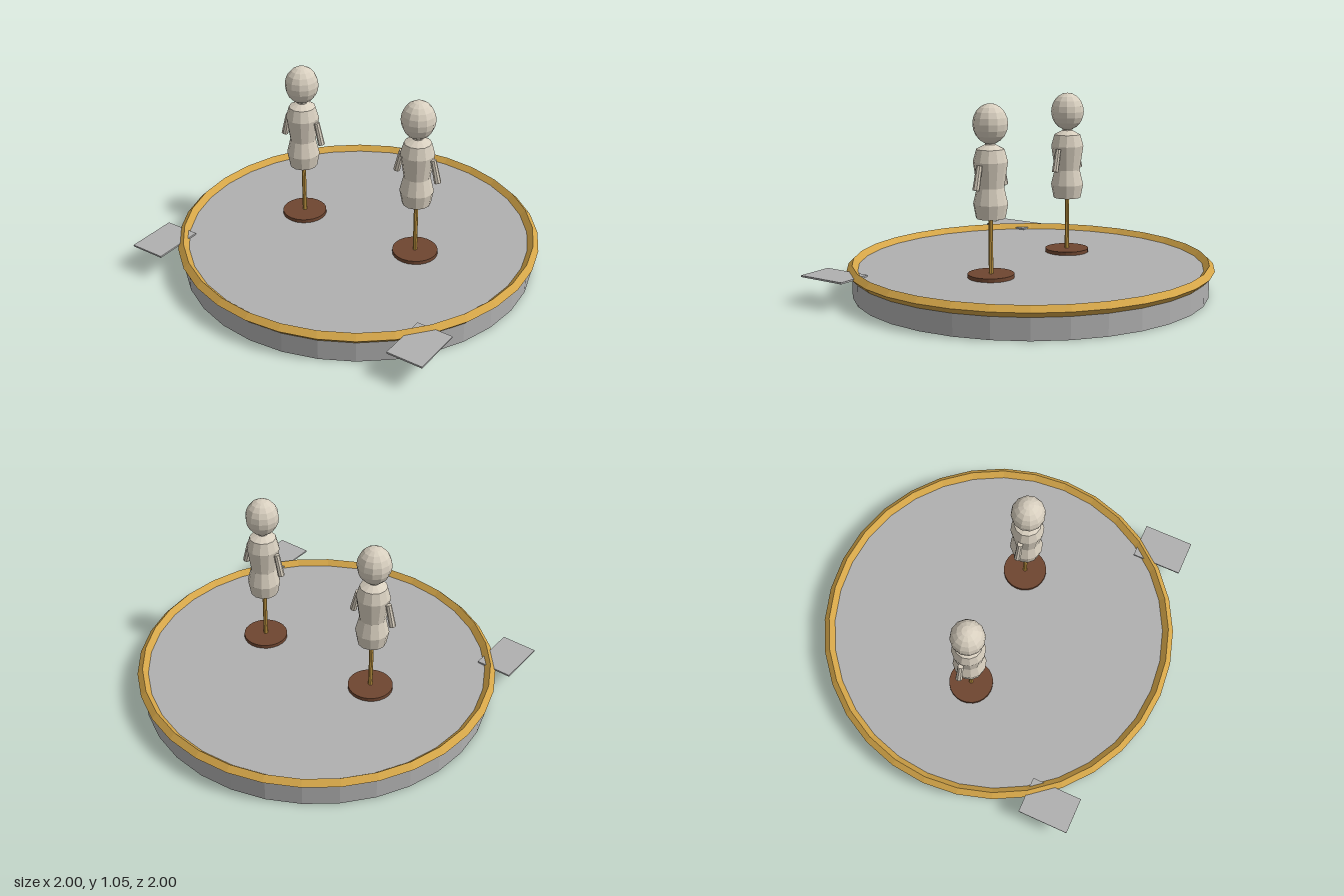
import * as THREE from 'three';

const mat = (name, color) => {
  const m = new THREE.MeshStandardMaterial({ color, flatShading: true });
  m.name = name;
  return m;
};

function add(parent, name, geometry, material, x = 0, y = 0, z = 0) {
  const mesh = new THREE.Mesh(geometry, material);
  mesh.name = name;
  mesh.position.set(x, y, z);
  parent.add(mesh);
  return mesh;
}

export function createModel() {
  const stone = mat('stone grey', 0xb0b0b0);
  const gold = mat('gold', 0xd4a548);
  const linen = mat('linen', 0xd8cfbf);
  const wood = mat('dark wood', 0x6f4630);
  const model = new THREE.Group();
  model.name = 'displayPlatform';

  // Round platform with a four-sided rim around its top edge
  const top = 0.145;
  add(model, 'platform', new THREE.CylinderGeometry(0.97, 0.97, top, 32), stone, 0, top / 2);
  const rim = new THREE.TorusGeometry(0.97, 0.03, 4, 32).rotateX(Math.PI / 2);
  add(model, 'rim', rim, gold, 0, top);

  // Dress form outline, from hem to neck
  const profile = [
    [0, 0.46], [0.077, 0.46], [0.091, 0.535], [0.071, 0.62], [0.091, 0.755],
    [0.073, 0.82], [0.028, 0.843], [0.026, 0.865], [0, 0.865],
  ].map(([r, y]) => new THREE.Vector2(r, y));

  for (const side of [-1, 1]) {
    // Mannequin on its stand
    const figure = new THREE.Group();
    figure.name = side > 0 ? 'leftMannequin' : 'rightMannequin';
    figure.position.x = side * 0.372;
    model.add(figure);
    add(figure, 'standBase', new THREE.CylinderGeometry(0.123, 0.123, 0.04, 24), wood, 0, top);
    add(figure, 'standPole', new THREE.CylinderGeometry(0.012, 0.012, 0.32, 8), gold, 0, 0.31);
    add(figure, 'torso', new THREE.LatheGeometry(profile, 12), linen);
    const head = add(figure, 'head', new THREE.SphereGeometry(0.092, 12, 10), linen, 0, 0.95);
    head.scale.y = 1.14;
    for (const s of [-1, 1]) {
      const arm = add(figure, s > 0 ? 'leftArm' : 'rightArm',
        new THREE.CylinderGeometry(0.016, 0.019, 0.128, 8), linen, s * 0.111, 0.682);
      arm.rotation.z = s * 0.24;
    }

    // Thin plate projecting from the front edge
    add(model, side > 0 ? 'leftPlate' : 'rightPlate',
      new THREE.BoxGeometry(0.2, 0.009, 0.283), stone, side * 0.826, 0.15, 0.682);
  }
  return model;
}
